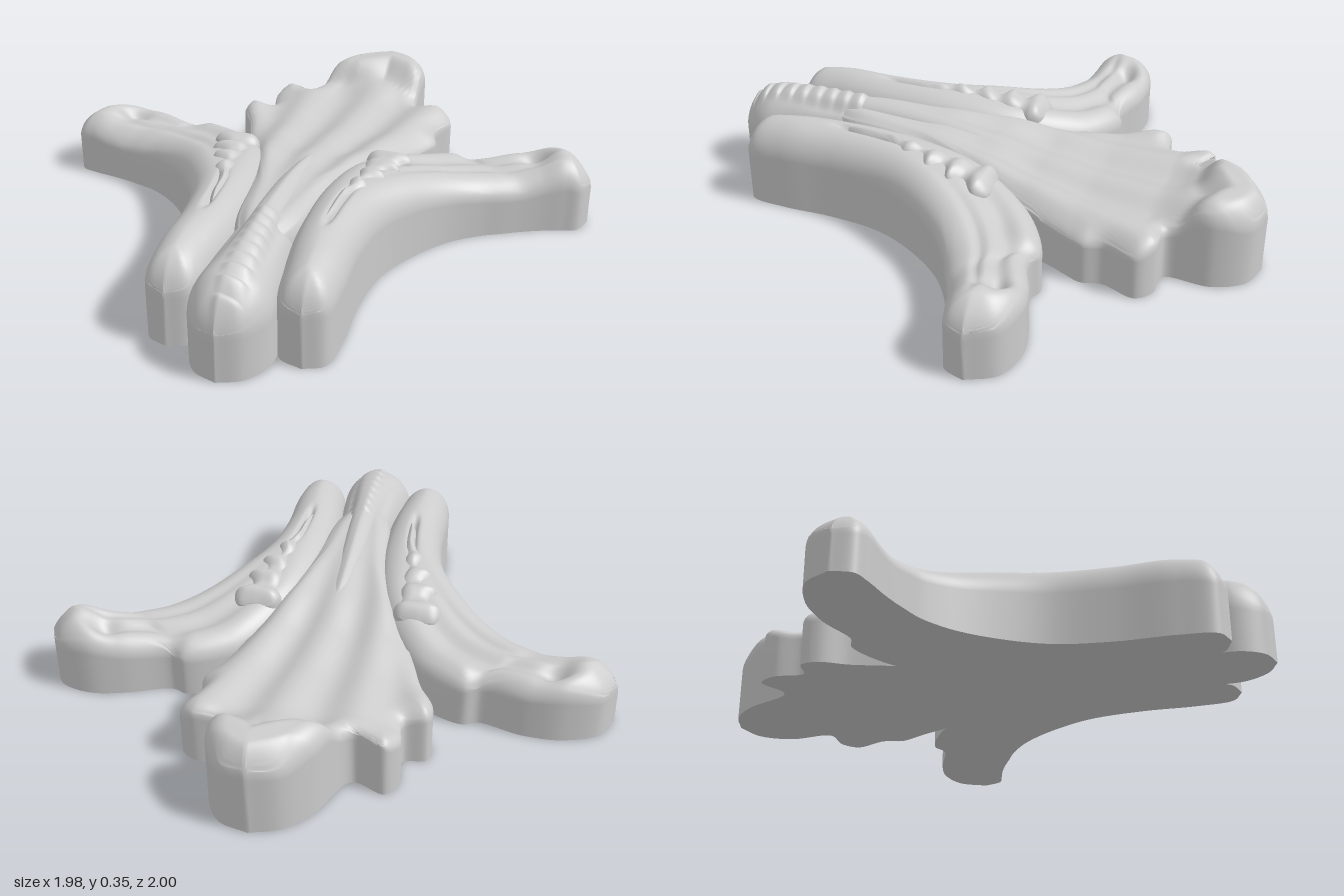
import * as THREE from 'three';
import { mergeVertices } from 'three/addons/utils/BufferGeometryUtils.js';

const material = new THREE.MeshStandardMaterial({ color: 0xcccccc });
const smooth = THREE.MathUtils.smoothstep;

// Smooth interpolation through [position, value] pairs in rising order.
function profile(pairs, p) {
  if (p <= pairs[0][0]) return pairs[0][1];
  for (let i = 1; i < pairs.length; i++) {
    const [a, va] = pairs[i - 1], [b, vb] = pairs[i];
    if (p <= b) return va + (vb - va) * (0.5 * smooth(p, a, b) + 0.5 * (p - a) / (b - a));
  }
  return pairs[pairs.length - 1][1];
}

// Flat-bottomed carved solid. Each row is [ax, az, bx, bz, height, mx, mz]:
// the two edges, the height and an optional middle point. The top rounds off
// towards the outline over `radius`, down to `edge` of its height.
function carve(name, rows, { steps, cols = 36, radius, edge, height, warp }) {
  const curve = (fn) => new THREE.CatmullRomCurve3(rows.map(fn));
  const A = curve((r) => new THREE.Vector3(r[0], 0, r[1]));
  const B = curve((r) => new THREE.Vector3(r[2], 0, r[3]));
  const M = curve((r) => new THREE.Vector3(
    r[5] ?? (r[0] + r[2]) / 2, r[4], r[6] ?? (r[1] + r[3]) / 2));
  const sample = (c) => Array.from({ length: steps + 1 }, (_, i) => c.getPoint(i / steps));
  const a = sample(A), b = sample(B), m = sample(M);
  const outline = [...a, ...b];

  const top = [], bottom = [];
  for (let i = 0; i <= steps; i++) {
    for (let j = 0; j <= cols; j++) {
      const v = Math.sin(Math.PI * (j / cols - 0.5));
      const side = v < 0 ? a[i] : b[i], k = Math.abs(v);
      let x = m[i].x + (side.x - m[i].x) * k;
      let z = m[i].z + (side.z - m[i].z) * k;
      let d = radius;
      for (const p of outline) d = Math.min(d, Math.hypot(p.x - x, p.z - z));
      const round = Math.sqrt(1 - (1 - d / radius) ** 2);
      let y = height(x, z, v, m[i].y, i / steps) * (edge + (1 - edge) * round);
      if (warp) [x, y, z] = warp(x, y, z);
      if (j === 0) top.push(x, 0, z);
      top.push(x, y, z);
      if (j === cols) top.push(x, 0, z);
      bottom.push(x, 0, z);
    }
  }
  // Turn the faces outwards whichever way the rows run.
  const at = (i, j) => (i * (cols + 1) + j) * 3;
  const h = steps >> 1, o = at(h, 0), c = at(h, cols), n = at(h + 1, cols >> 1), q = at(h, cols >> 1);
  const up = (bottom[n + 2] - bottom[q + 2]) * (bottom[c] - bottom[o])
    - (bottom[n] - bottom[q]) * (bottom[c + 2] - bottom[o + 2]) > 0;
  const surface = (points, width, flip) => {
    const index = [];
    for (let i = 0; i < steps; i++) for (let j = 0; j < width - 1; j++) {
      const p = i * width + j, r = p + width;
      if (flip) index.push(p, p + 1, r, p + 1, r + 1, r);
      else index.push(p, r, p + 1, p + 1, r, r + 1);
    }
    let g = new THREE.BufferGeometry();
    g.setAttribute('position', new THREE.Float32BufferAttribute(points, 3));
    g.setIndex(index);
    g = mergeVertices(g, 1e-5);
    g.computeVertexNormals();
    return new THREE.Mesh(g, material);
  };
  const part = new THREE.Group();
  part.name = name;
  const upper = surface(top, cols + 3, !up), base = surface(bottom, cols + 1, up);
  upper.name = name + 'Top';
  base.name = name + 'Base';
  part.add(upper, base);
  return part;
}

export function createModel() {
  const model = new THREE.Group();

  // Large lobed leaf at the back, with a raised curl at its tip
  const leafRows = [
    [0.10, -1.00, 0.10, -1.00, 0, 0.10, -1.00],
    [0.00, -0.965, 0.20, -0.965, 0, 0.10, -0.92],
    [-0.08, -0.88, 0.26, -0.86, 0, 0.10, -0.78],
    [-0.17, -0.71, 0.26, -0.70, 0, 0.09, -0.56],
    [-0.28, -0.75, 0.36, -0.69, 0, 0.08, -0.47],
    [-0.32, -0.69, 0.41, -0.64, 0, 0.07, -0.40],
    [-0.315, -0.58, 0.37, -0.52, 0, 0.06, -0.30],
    [-0.39, -0.56, 0.385, -0.45, 0, 0.05, -0.23],
    [-0.40, -0.50, 0.36, -0.39, 0, 0.04, -0.17],
    [-0.35, -0.40, 0.335, -0.34, 0, 0.03, -0.10],
    [-0.31, -0.28, 0.31, -0.28, 0, 0.02, -0.03],
    [-0.24, -0.08, 0.24, -0.08, 0, 0, 0.10],
    [-0.15, 0.20, 0.15, 0.20, 0, 0, 0.30],
    [-0.11, 0.50, 0.11, 0.50, 0, 0, 0.55],
    [0, 0.75, 0, 0.75, 0, 0, 0.75],
  ];
  const leafProfile = [[-1, 0.27], [-0.92, 0.305], [-0.85, 0.31], [-0.74, 0.235], [-0.6, 0.2],
    [-0.4, 0.2], [-0.2, 0.222], [0, 0.262], [0.2, 0.293], [0.5, 0.31], [0.75, 0.3]];
  model.add(carve('backLeaf', leafRows, {
    steps: 150, cols: 56, radius: 0.07, edge: 0.72,
    height: (x, z) => {
      const bend = 0.1 * smooth(-z, 0, 0.9);
      const angle = (x - bend) / (1.05 - z);
      const fade = smooth(-z, -0.5, 0.3) * (1 - smooth(-z, 0.72, 0.88));
      // the curl comes forward on either side of the midrib
      const curl = 0.07 * Math.min(1, Math.abs(x - 0.11) / 0.12);
      const zz = z < -0.6 ? z - curl * smooth(-z, 0.68, 0.8) + 0.03 : z;
      return profile(leafProfile, zz) + 0.013 * fade * Math.cos(angle * 44);
    },
  }));

  // Central stem with scales along its front crest
  const stemRows = [
    [-0.01, 1.00, -0.01, 1.00, 0.29],
    [-0.09, 0.965, 0.07, 0.965, 0.30],
    [-0.135, 0.88, 0.125, 0.88, 0.315],
    [-0.125, 0.75, 0.125, 0.75, 0.332],
    [-0.11, 0.58, 0.11, 0.58, 0.338],
    [-0.10, 0.40, 0.10, 0.40, 0.337],
    [-0.09, 0.20, 0.09, 0.20, 0.318],
    [-0.075, 0.00, 0.085, 0.00, 0.284],
    [-0.04, -0.20, 0.08, -0.20, 0.242],
    [0.01, -0.40, 0.09, -0.40, 0.216],
    [0.07, -0.62, 0.07, -0.62, 0.205],
  ];
  model.add(carve('centralStem', stemRows, {
    steps: 220, cols: 40, radius: 0.13, edge: 0.5,
    height: (x, z, v, h) => {
      const step = ((z - 0.5) / 0.055) % 1;
      const scale = z > 0.5 ? 0.012 * Math.sin(Math.PI * Math.sqrt(Math.max(step, 0))) : 0;
      const crest = 1 - smooth(Math.abs(x - 0.02), 0.025, 0.055);
      const groove = 0.014 * Math.exp(-(((Math.abs(v) - 0.55) / 0.13) ** 2)) * smooth(0.85 - z, 0, 0.3);
      return h + scale * crest - groove;
    },
  }));

  // Side arms: each runs from a front lobe and sweeps out to a curled tip
  const armRows = [
    [0.22, 0.865, 0.22, 0.865, 0.28],
    [0.29, 0.83, 0.14, 0.83, 0.30],
    [0.31, 0.70, 0.11, 0.68, 0.322],
    [0.31, 0.50, 0.09, 0.45, 0.32],
    [0.34, 0.30, 0.10, 0.20, 0.31],
    [0.42, 0.14, 0.15, -0.02, 0.288],
    [0.52, 0.015, 0.24, -0.18, 0.25],
    [0.62, -0.06, 0.33, -0.275, 0.222],
    [0.70, -0.10, 0.48, -0.345, 0.212],
    [0.76, -0.13, 0.54, -0.325, 0.212],
    [0.82, -0.155, 0.70, -0.38, 0.235],
    [0.90, -0.18, 0.82, -0.40, 0.268],
    [0.955, -0.20, 0.93, -0.365, 0.25],
    [0.985, -0.27, 0.985, -0.27, 0.235],
  ];
  // Small scalloped leaves lying on the arms
  const leafletRows = [
    [0.29, -0.115, 0.29, -0.115, 0.272],
    [0.35, -0.105, 0.22, -0.10, 0.28],
    [0.37, -0.06, 0.20, -0.06, 0.285],
    [0.325, -0.01, 0.215, -0.02, 0.292],
    [0.345, 0.04, 0.21, 0.03, 0.30],
    [0.30, 0.08, 0.205, 0.08, 0.304],
    [0.315, 0.13, 0.21, 0.13, 0.312],
    [0.27, 0.18, 0.20, 0.18, 0.317],
    [0.275, 0.23, 0.195, 0.24, 0.324],
    [0.235, 0.30, 0.185, 0.32, 0.33],
    [0.22, 0.42, 0.18, 0.42, 0.332],
    [0.18, 0.54, 0.18, 0.54, 0.325],
  ];
  for (const side of [1, -1]) {
    const prefix = side > 0 ? 'left' : 'right';
    // the right arm ends a little lower and further forward
    const warp = (x, y, z) => {
      const k = side < 0 ? smooth(x, 0.6, 0.92) : 0;
      return [side * (x + 0.006 * k), y * (1 - 0.12 * k), z + 0.038 * k];
    };
    model.add(carve(prefix + 'Arm', armRows, {
      steps: 150, cols: 40, radius: 0.11, edge: 0.6, warp,
      height: (x, z, v, h, t) => {
        const onArm = smooth(t, 0.3, 0.55) * (1 - smooth(t, 0.78, 0.88));
        const channel = Math.exp(-(((v - 0.25) / 0.25) ** 2)) + 0.6 * Math.exp(-(((v + 0.3) / 0.12) ** 2));
        const hollow = Math.exp(-((x - 0.78) ** 2 + (z + 0.3) ** 2) / 0.0025);
        const slit = Math.exp(-(((v + 0.05) / 0.1) ** 2)) * smooth(z, 0.2, 0.35) * (1 - smooth(z, 0.45, 0.56));
        return h - 0.024 * onArm * channel - 0.035 * hollow - 0.03 * slit;
      },
    }));
    model.add(carve(prefix + 'Leaflet', leafletRows, {
      steps: 110, cols: 24, radius: 0.045, edge: 0.84, warp,
      height: (x, z, v, h) => h + 0.007 * Math.cos((z - 0.04 - 0.2 * (x - 0.34)) * 66) * (1 - smooth(z, 0.2, 0.35)),
    }));
  }
  return model;
}
